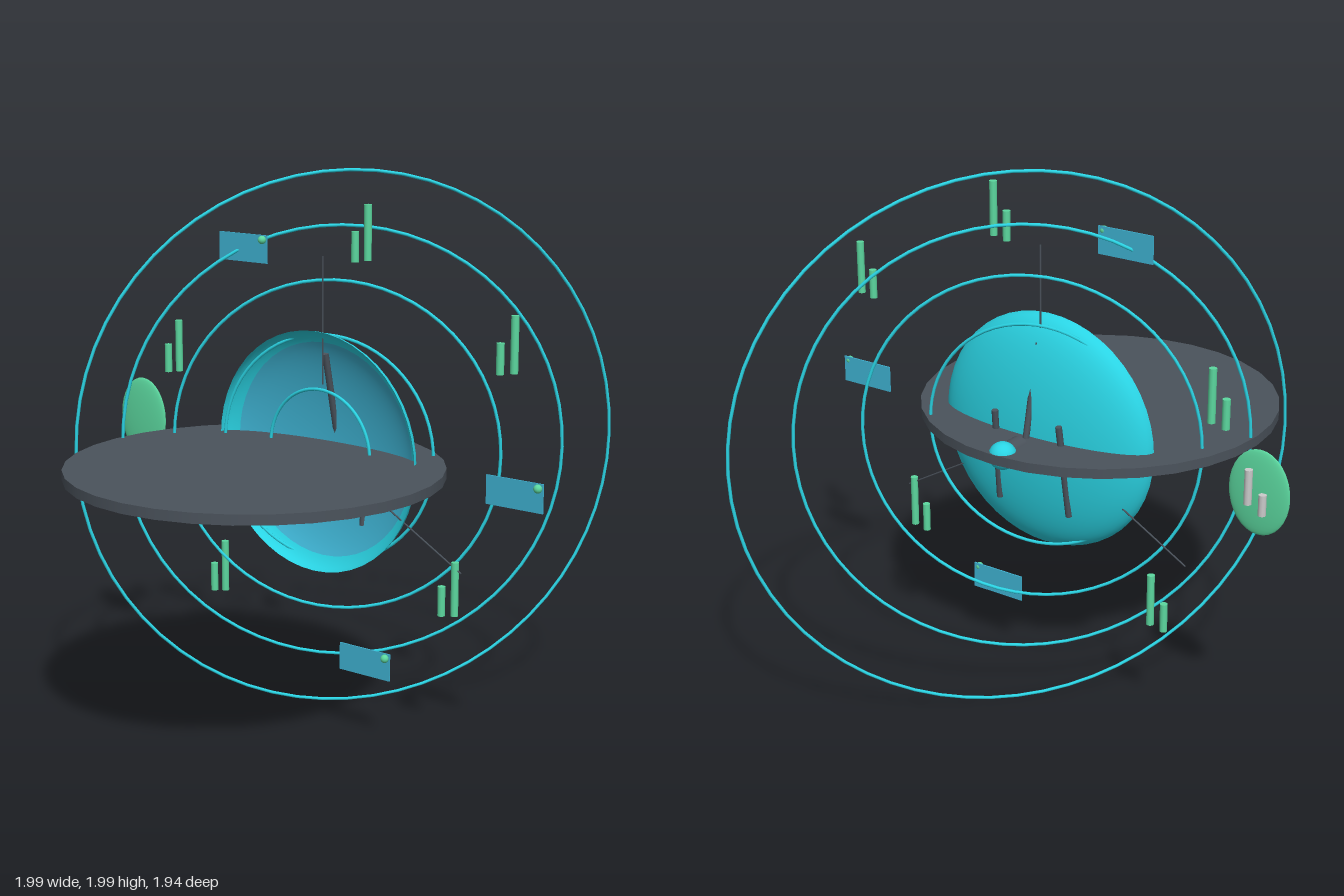
import * as THREE from 'three';

const mat = (color) => new THREE.MeshStandardMaterial({ color, side: THREE.DoubleSide });
const CYAN = mat(0x2ad4e4), BLUE = mat(0x3fb4d4), DARK = mat(0x4b535c);
const GREEN = mat(0x5cd9a0), GREY = mat(0xcccccc);

export function createModel() {
  const model = new THREE.Group();

  const add = (name, geometry, material, x = 0, y = 0, z = 0, parent = model) => {
    const mesh = new THREE.Mesh(geometry, material);
    mesh.name = name;
    mesh.position.set(x, y, z);
    parent.add(mesh);
    return mesh;
  };

  // Round bar between two points
  const bar = (name, a, b, radius, material, sides = 8) => {
    const from = new THREE.Vector3(...a), to = new THREE.Vector3(...b);
    const dir = to.clone().sub(from);
    const mesh = add(name, new THREE.CylinderGeometry(radius, radius, dir.length(), sides), material);
    mesh.position.copy(from).lerp(to, 0.5);
    mesh.quaternion.setFromUnitVectors(new THREE.Vector3(0, 1, 0), dir.normalize());
    return mesh;
  };

  // Horizontal deck
  add('deck', new THREE.CylinderGeometry(0.66, 0.66, 0.036, 32), DARK, 0, 1, 0.305);

  // Shallow half-ellipsoid dish, open to the front, with a blue lining
  const bowl = (name, radius, depth, start, material) => {
    const points = [];
    for (let i = 0; i <= 16; i++) {
      const a = start + (Math.PI / 2 - start) * (i / 16);
      points.push(new THREE.Vector2(Math.max(radius * Math.cos(a), 0), depth * Math.sin(a)));
    }
    const mesh = add(name, new THREE.LatheGeometry(points, 48), material, 0, 1, -0.025);
    mesh.rotation.x = -Math.PI / 2;
  };
  bowl('dish', 0.44, 0.126, 0, CYAN);
  bowl('dishLining', 0.436, 0.122, 0.45, BLUE);

  // Struts that pass through the dish
  bar('upperStrut', [0, 1.35, -0.09], [0, 1.0, -0.17], 0.012, DARK);
  for (const s of [-1, 1]) {
    bar('lowerStrut', [s * 0.15, 0.735, -0.118], [s * 0.136, 1.09, -0.163], 0.012, DARK);
  }

  // Thin antennas around the dish
  for (let i = 0; i < 3; i++) {
    const a = Math.PI / 2 + (i * Math.PI * 2) / 3;
    const at = (r) => [r * Math.cos(a), 1 + r * Math.sin(a), -0.075];
    bar('antenna', at(0.24), at(0.7), 0.003, DARK, 6);
  }

  // Feed behind the dish
  bar('feedBase', [0, 1, -0.205], [0, 1, -0.28], 0.038, DARK, 16);
  add('feedBall', new THREE.SphereGeometry(0.05, 24, 16), CYAN, 0, 1, -0.305);

  // Widening rings, each turned further and set further back
  for (let i = 0; i < 5; i++) {
    const ring = add('ring', new THREE.TorusGeometry(0.225 + i * 0.1915, 0.006, 8, 64), CYAN,
      0, 1, -0.056 - i * 0.0435);
    ring.rotation.y = THREE.MathUtils.degToRad(12 * i);
  }

  // Floating panels with a corner bead
  for (const [x, y] of [[0.882, 1], [-0.275, 1.72], [0.275, 0.288]]) {
    const panel = new THREE.Group();
    panel.name = 'panel';
    panel.position.set(x, y, 0.032);
    model.add(panel);
    add('panelSheet', new THREE.BoxGeometry(0.22, 0.1, 0.005), BLUE, 0, 0, 0, panel);
    add('panelBead', new THREE.SphereGeometry(0.015, 12, 8), GREEN, 0.094, 0.034, 0.01, panel);
  }

  // Pairs of a tall and a short post
  const post = (name, x, bottom, height, z, material) =>
    add(name, new THREE.CylinderGeometry(0.014, 0.014, height, 10), material, x, bottom + height / 2, z);
  for (const [x, y] of [[0.195, 1.7], [0.8, 1.375], [-0.69, 1.208], [-0.47, 0.384], [0.58, 0.492]]) {
    post('tallPost', x, y, 0.194, -0.077, GREEN);
    post('shortPost', x - 0.055, y - 0.01, 0.107, -0.077, GREEN);
  }

  // Oval badge with two posts on its back
  const oval = add('oval', new THREE.SphereGeometry(1, 32, 16), GREEN, -0.881, 1.004, -0.078);
  oval.scale.set(0.115, 0.154, 0.016);
  post('ovalTallPost', -0.853, 0.965, 0.125, -0.105, GREY);
  post('ovalShortPost', -0.908, 0.938, 0.075, -0.105, GREY);

  return model;
}
